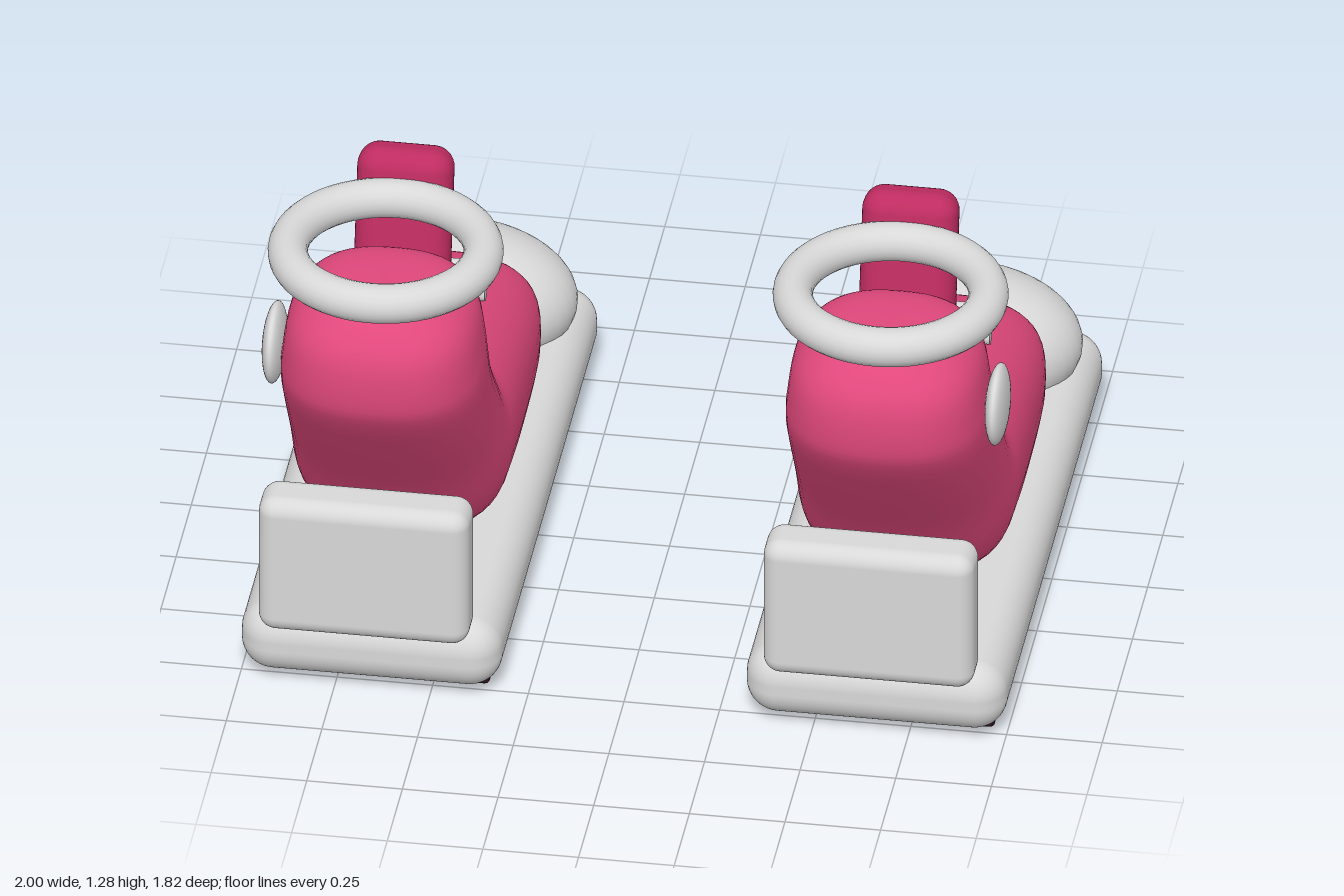
import * as THREE from 'three';
import { RoundedBoxGeometry } from 'three/addons/geometries/RoundedBoxGeometry.js';

const mat = (name, color) => {
  const m = new THREE.MeshStandardMaterial({ color });
  m.name = name;
  return m;
};

// Boot cross-sections from toe to ankle: [lower z, lower y, upper z, upper y, half width]
const SECTIONS = [
  [-0.57, 0.35, -0.57, 0.35, 0],
  [-0.565, 0.24, -0.57, 0.45, 0.15],
  [-0.53, 0.2, -0.53, 0.5, 0.21],
  [-0.45, 0.18, -0.45, 0.55, 0.25],
  [-0.3, 0.17, -0.3, 0.592, 0.273],
  [-0.05, 0.17, -0.01, 0.655, 0.284],
  [0.18, 0.17, 0.12, 0.682, 0.285],
  [0.32, 0.19, 0.2, 0.705, 0.28],
  [0.49, 0.42, 0.255, 0.765, 0.272],
  [0.66, 0.64, 0.295, 0.83, 0.267],
  [0.77, 0.79, 0.305, 0.9, 0.265],
  [0.8, 0.87, 0.3, 0.97, 0.258],
  [0.795, 0.98, 0.31, 1.03, 0.242],
  [0.755, 1.05, 0.345, 1.072, 0.2],
  [0.69, 1.09, 0.42, 1.094, 0.13],
  [0.56, 1.1, 0.56, 1.1, 0],
];

// Smooth loft of rounded-square rings along the foot and up the ankle
function bootGeometry() {
  const curve = (f) => new THREE.CatmullRomCurve3(SECTIONS.map(f), false, 'catmullrom');
  const lower = curve((s) => new THREE.Vector3(s[4], s[1], s[0]));
  const upper = curve((s) => new THREE.Vector3(s[4], s[3], s[2]));
  const rows = 60, cols = 48, pos = [], idx = [];
  const soft = (v) => Math.sign(v) * Math.abs(v) ** 0.8;
  for (let i = 0; i <= rows; i++) {
    const a = lower.getPoint(i / rows), b = upper.getPoint(i / rows);
    for (let j = 0; j < cols; j++) {
      const t = (j / cols) * Math.PI * 2;
      const c = soft(Math.cos(t)), k = (soft(Math.sin(t)) + 1) / 2;
      pos.push(a.x * c, a.y + (b.y - a.y) * k, a.z + (b.z - a.z) * k);
      if (i < rows) {
        const p = i * cols + j, q = i * cols + ((j + 1) % cols);
        idx.push(p, q, q + cols, p, q + cols, p + cols);
      }
    }
  }
  const g = new THREE.BufferGeometry();
  g.setAttribute('position', new THREE.Float32BufferAttribute(pos, 3));
  g.setIndex(idx);
  g.computeVertexNormals();
  return g;
}

export function createModel() {
  const pink = mat('boot pink', 0xe0487c);
  const deepPink = mat('tongue deep pink', 0xbe2c60);
  const grey = mat('light grey', 0xd8d8d8);
  const dark = mat('tread dark', 0x2c1220);

  const boot = bootGeometry();
  const ball = new THREE.SphereGeometry(1, 40, 28);
  const sole = new RoundedBoxGeometry(0.68, 0.195, 1.725, 6, 0.085);
  const tread = new RoundedBoxGeometry(0.61, 0.04, 0.06, 2, 0.014);
  const collar = new THREE.TorusGeometry(0.253, 0.052, 20, 56);
  const tongue = new RoundedBoxGeometry(0.25, 0.5, 0.13, 5, 0.055);
  const lace = new THREE.CylinderGeometry(0.022, 0.022, 0.31, 16);
  const block = new RoundedBoxGeometry(0.55, 0.4, 0.145, 5, 0.045);

  const model = new THREE.Group();
  model.name = 'pairOfBoots';

  for (const side of [1, -1]) {
    const shoe = new THREE.Group();
    shoe.name = side > 0 ? 'leftBoot' : 'rightBoot';
    shoe.position.x = 0.66 * side;
    model.add(shoe);
    const add = (name, geo, material, x, y, z) => {
      const m = new THREE.Mesh(geo, material);
      m.name = name;
      m.position.set(x, y, z);
      shoe.add(m);
      return m;
    };

    add('bootBody', boot, pink, 0, 0, 0);
    add('sole', sole, grey, 0, 0.1175, -0.0425);
    add('toeCap', ball, grey, 0, 0.27, -0.69).scale.set(0.31, 0.19, 0.22);
    add('ankleDisc', ball, grey, 0.285 * side, 0.88, 0.545).scale.set(0.03, 0.108, 0.108);
    add('heelBlock', block, grey, 0, 0.42, 0.84);
    add('collarRing', collar, grey, 0, 1.17, 0.515).rotation.x = Math.PI / 2;
    add('tongue', tongue, deepPink, 0, 1.028, 0.222).rotation.x = -0.21;

    // Laces across the instep
    for (const [z, y] of [[0.166, 0.692], [0.005, 0.66], [-0.156, 0.628], [-0.32, 0.594]]) {
      add('lace', lace, grey, 0, y, z).rotation.z = Math.PI / 2;
    }
    // Tread bars under the sole
    for (let i = 0; i < 9; i++) add('treadBar', tread, dark, 0, 0.02, 0.7 - i * 0.179);
  }
  return model;
}
